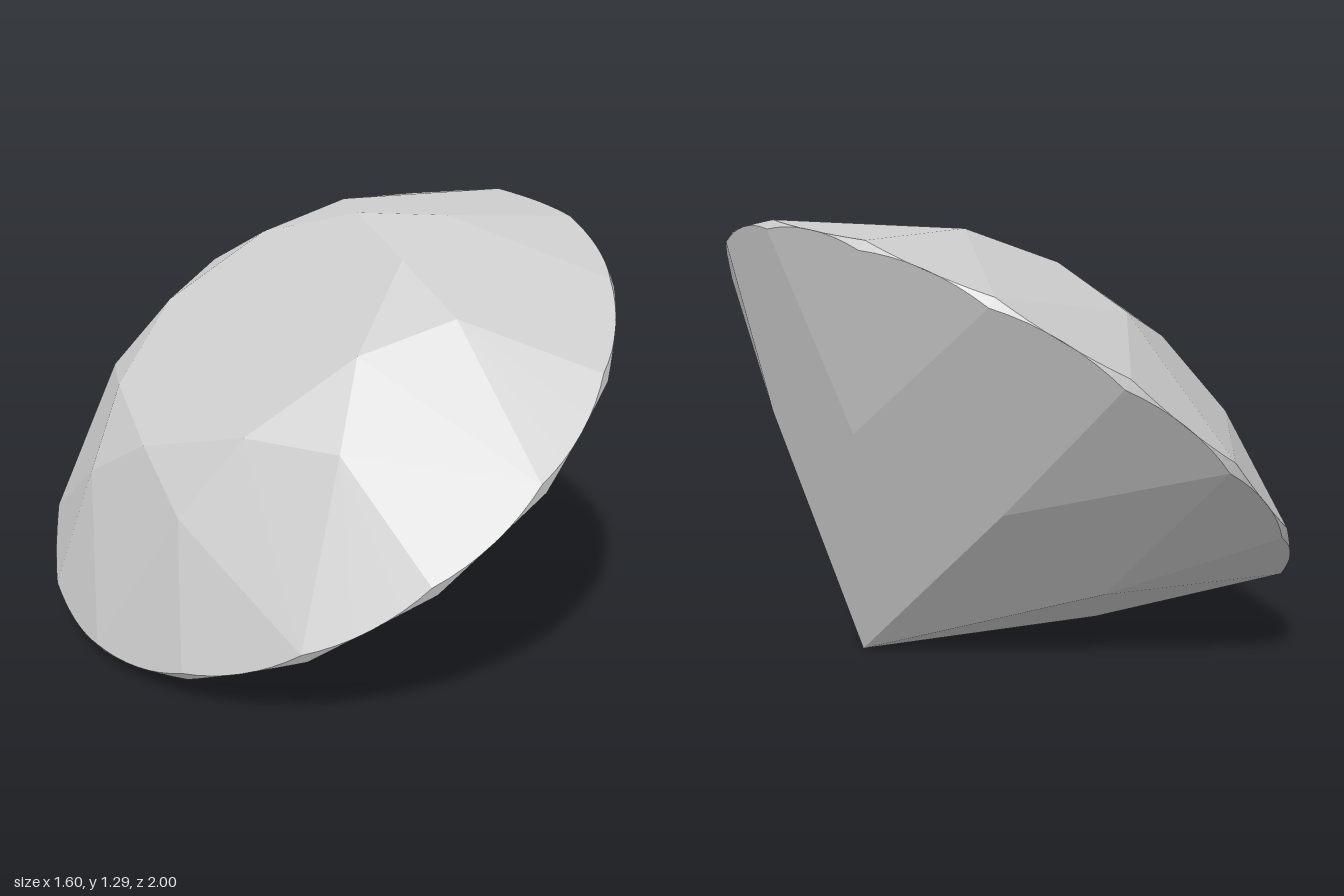
import * as THREE from 'three';

// Gem proportions, measured along (h) and out from (r) the gem's own axis
const STEP = Math.PI / 8;                 // one sixteenth of the girdle
const TABLE = { r: 0.5, h: 0.363 };
const UPPER = 0.015, LOWER = -0.017;      // girdle edges at the sixteen corners
const CULET = -0.838;
const STAR_R = 0.67, KEEL_R = 0.61;       // side corners of the crown and pavilion kites
const ARC = 8;                            // subdivisions of each girdle scallop

const polar = (r, h, a) => new THREE.Vector3(r * Math.cos(a), h, r * Math.sin(a));

// Height that keeps the side corners in the plane of the main kite facets
const kiteHeight = (r, r0, h0, h1) => h0 + (h1 - h0) * (r * Math.cos(STEP) - r0) / (1 - r0);
const STAR_H = kiteHeight(STAR_R, TABLE.r, TABLE.h, UPPER);
const KEEL_H = kiteHeight(KEEL_R, 0, CULET, LOWER);

// Point on the round girdle where a flat half facet cuts it
function girdlePoint(a, start, edgeH, innerR, innerH) {
  const half = STEP / 2, chord = Math.cos(half);
  const slope = (innerH - edgeH) / (chord - innerR * chord);
  return polar(1, edgeH - slope * (Math.cos(a - start - half) - chord), a);
}

function facets(name, triangles) {
  const geometry = new THREE.BufferGeometry().setFromPoints(triangles.flat());
  geometry.computeVertexNormals();
  const material = new THREE.MeshStandardMaterial({ color: 0xcccccc, flatShading: true });
  const mesh = new THREE.Mesh(geometry, material);
  mesh.name = name;
  return mesh;
}

export function createModel() {
  const table = [], crown = [], girdle = [], pavilion = [];
  const culet = polar(0, CULET, 0);

  for (let i = 0; i < 8; i++) {
    const a = i * 2 * STEP, b = a + 2 * STEP, mid = a + STEP;
    const t0 = polar(TABLE.r, TABLE.h, a), t1 = polar(TABLE.r, TABLE.h, b);
    const star = polar(STAR_R, STAR_H, mid), keel = polar(KEEL_R, KEEL_H, mid);

    // Octagonal table, star facet and the two kite halves beside it
    table.push([polar(0, TABLE.h, 0), t1, t0]);
    crown.push([t0, t1, star]);
    crown.push([t0, star, polar(1, UPPER, a)], [t1, polar(1, UPPER, b), star]);
    pavilion.push([culet, polar(1, LOWER, a), keel], [culet, keel, polar(1, LOWER, b)]);

    // Half facets running out to the scalloped girdle
    for (const start of [a, mid]) {
      for (let k = 0; k < ARC; k++) {
        const p = start + STEP * k / ARC, q = start + STEP * (k + 1) / ARC;
        const [u0, u1] = [p, q].map(x => girdlePoint(x, start, UPPER, STAR_R, STAR_H));
        const [l0, l1] = [p, q].map(x => girdlePoint(x, start, LOWER, KEEL_R, KEEL_H));
        crown.push([star, u1, u0]);
        pavilion.push([keel, l0, l1]);
        girdle.push([u0, u1, l1], [u0, l1, l0]);
      }
    }
  }

  // The stone rests on its culet and one side of its pavilion
  const gem = new THREE.Group();
  gem.name = 'gem';
  gem.add(facets('table', table), facets('crown', crown),
    facets('girdle', girdle), facets('pavilion', pavilion));
  gem.rotation.z = THREE.MathUtils.degToRad(38);
  gem.position.y = 0.66;

  const model = new THREE.Group();
  model.name = 'cutGemstone';
  model.add(gem);
  return model;
}
